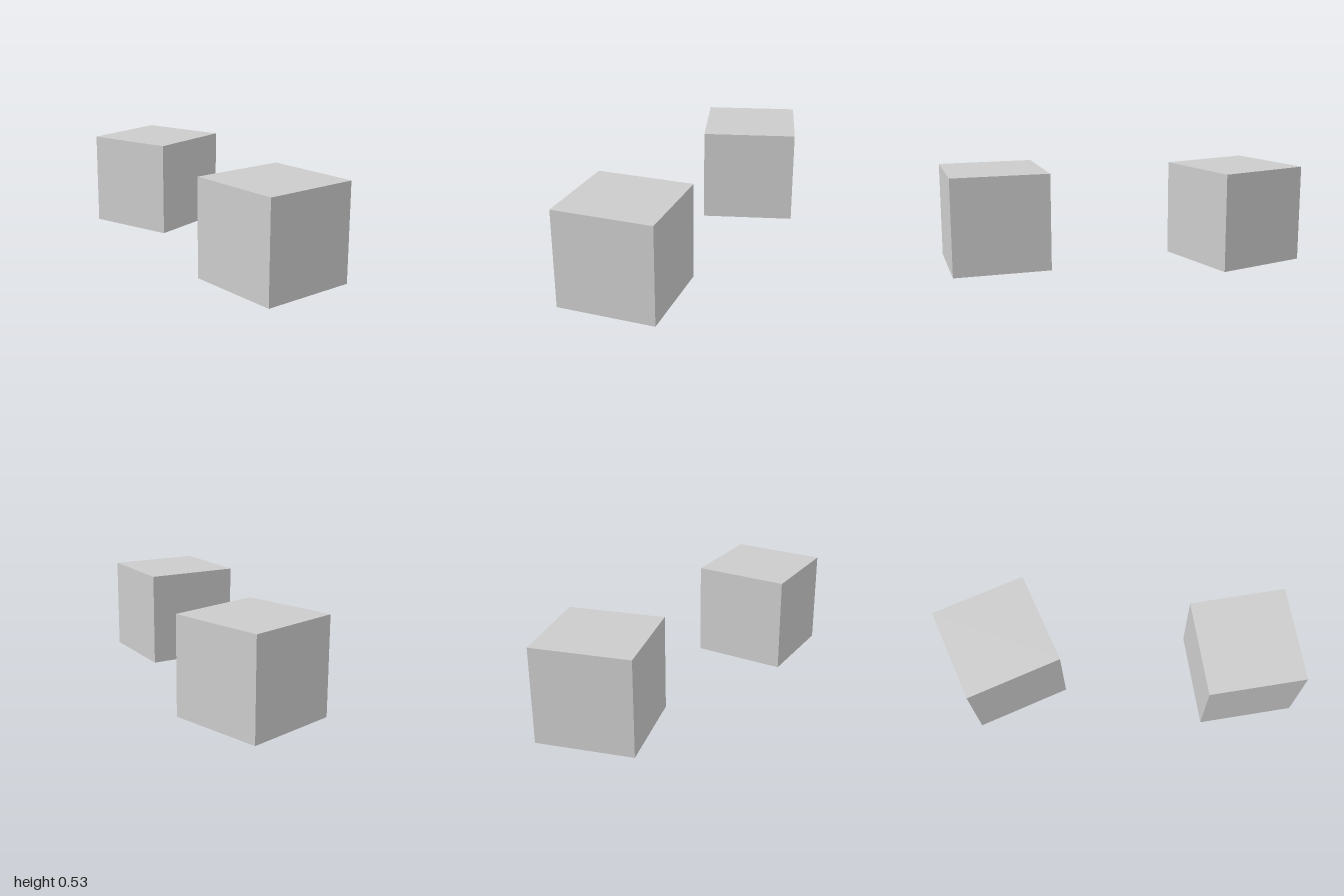
import * as THREE from 'three';

const SIZE = 0.526;

export function createModel() {
  const model = new THREE.Group();
  const material = new THREE.MeshStandardMaterial({ color: 0xcccccc, flatShading: true });
  const geometry = new THREE.BoxGeometry(SIZE, SIZE, SIZE);

  // Two equal cubes resting on the floor, each turned about its vertical axis
  const cubes = [
    { name: 'frontCube', x: 0.23, z: 0.641, turn: Math.PI / 6 },
    { name: 'backCube', x: -0.219, z: -0.628, turn: Math.PI / 4 },
  ];
  for (const { name, x, z, turn } of cubes) {
    const cube = new THREE.Mesh(geometry, material);
    cube.name = name;
    cube.position.set(x, SIZE / 2, z);
    cube.rotation.y = turn;
    model.add(cube);
  }
  return model;
}
